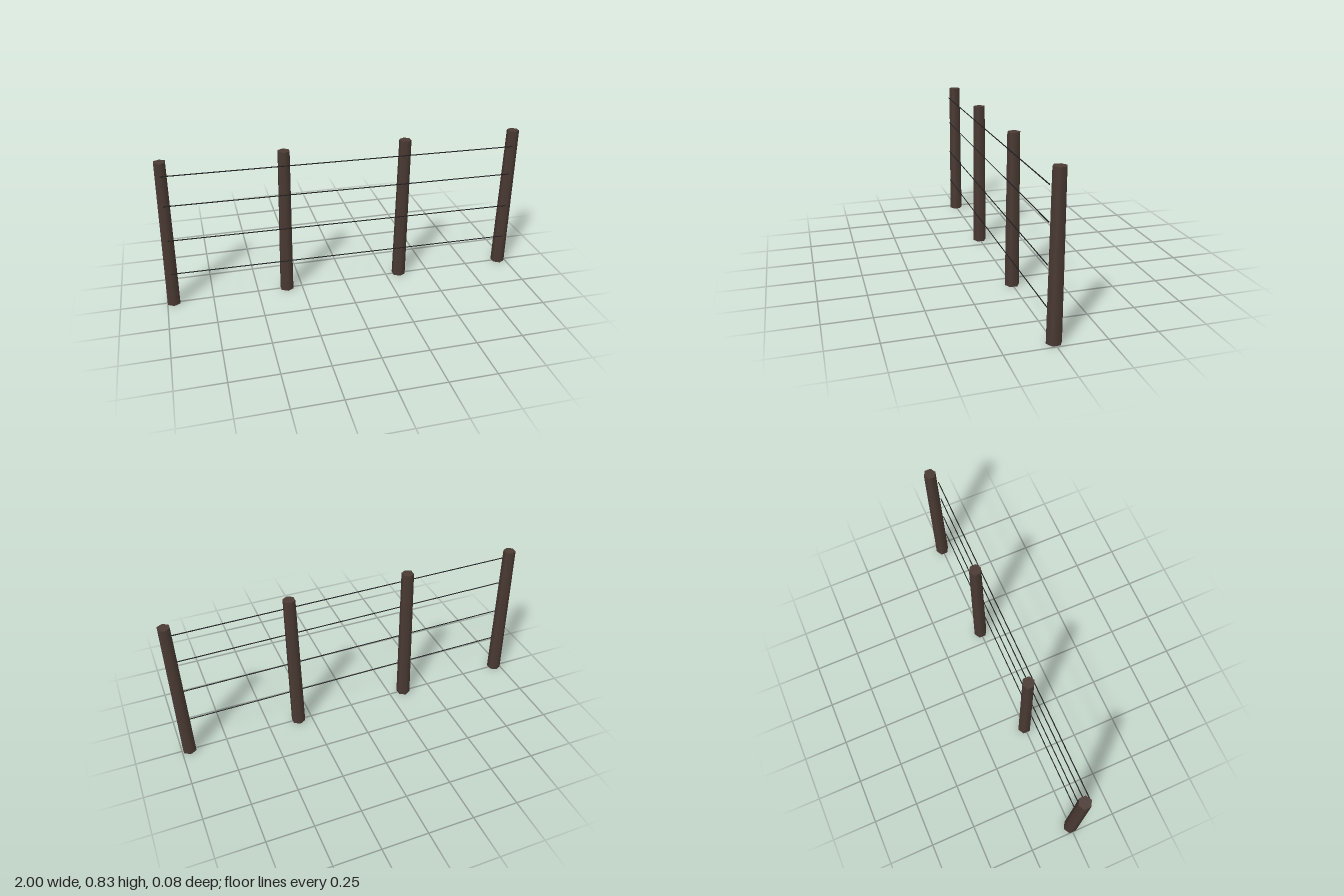
import * as THREE from 'three';

export function createModel() {
  const fence = new THREE.Group();
  fence.name = 'wireFence';
  const wood = new THREE.MeshStandardMaterial({ color: 0x4a3a33 });
  wood.name = 'darkWood';
  const steel = new THREE.MeshStandardMaterial({ color: 0x1c1c1c });
  steel.name = 'darkWire';

  // Tapered six-sided posts, all leaning slightly to +x
  const height = 0.83, lean = 0.012;
  const postGeometry = new THREE.CylinderGeometry(0.0335, 0.039, height, 6);
  postGeometry.translate(0, height / 2, 0);
  const position = postGeometry.attributes.position;
  for (let i = 0; i < position.count; i++) {
    position.setX(i, position.getX(i) + lean * position.getY(i) / height);
  }
  [-0.966, -0.337, 0.327, 0.958].forEach((x, i) => {
    const post = new THREE.Mesh(postGeometry, wood);
    post.name = `post${i + 1}`;
    post.position.x = x;
    fence.add(post);
  });

  // Four straight wires along the front, sloping down towards +x
  const span = 1.915, drop = 0.019;
  const wireGeometry = new THREE.CylinderGeometry(0.0028, 0.0028, Math.hypot(span, drop), 6);
  wireGeometry.rotateZ(Math.PI / 2 - Math.atan2(drop, span));
  [0.191, 0.391, 0.59, 0.756].forEach((y, i) => {
    const wire = new THREE.Mesh(wireGeometry, steel);
    wire.name = `wire${i + 1}`;
    wire.position.set(-0.002, y, 0.038);
    fence.add(wire);
  });

  return fence;
}
